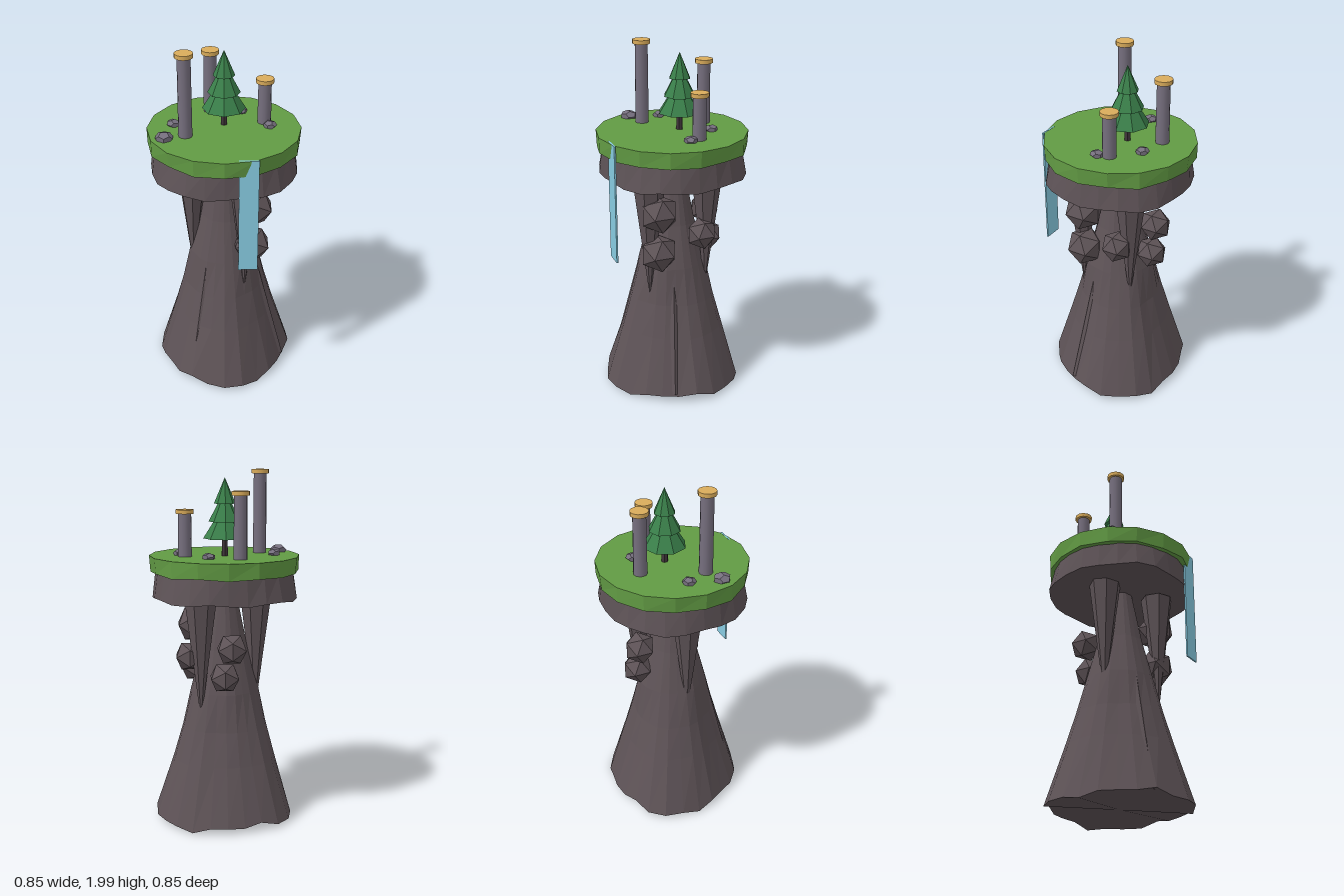
import * as THREE from 'three';

const paint = (name, color, flatShading = true) =>
  new THREE.MeshStandardMaterial({ name, color, flatShading });

export function createModel() {
  const model = new THREE.Group();
  model.name = 'floatingIslandSpire';

  const rock = paint('darkRock', 0x5e5357);
  const grass = paint('grass', 0x629b44);
  const stone = paint('greyStone', 0x766f7e, false);
  const gold = paint('goldCap', 0xdaac5b, false);
  const leaf = paint('pineGreen', 0x3a7f4a);
  const bark = paint('bark', 0x40353a);
  const water = paint('water', 0x87cbe1);

  function add(name, geometry, material, x = 0, y = 0, z = 0, parent = model) {
    const mesh = new THREE.Mesh(geometry, material);
    mesh.name = name;
    mesh.position.set(x, y, z);
    parent.add(mesh);
    return mesh;
  }

  // Move every vertex by a rule of its angle, radius and height
  function reshape(geometry, rule) {
    const p = geometry.attributes.position;
    for (let i = 0; i < p.count; i++) {
      const a = Math.atan2(p.getX(i), p.getZ(i));
      const [r, y] = rule(a, Math.hypot(p.getX(i), p.getZ(i)), p.getY(i));
      p.setXYZ(i, Math.sin(a) * r, y, Math.cos(a) * r);
    }
    geometry.computeVertexNormals();
    return geometry;
  }

  // Flared, three-lobed rock core with an uneven foot
  const profile = [[0.03, 0.39], [0.36, 0.29], [0.55, 0.238], [0.76, 0.193],
    [1.0, 0.13], [1.31, 0.068]];
  const core = new THREE.CylinderGeometry(1, 1, 5, 24, 5);
  add('rockCore', reshape(core, (a, r, y) => {
    const level = Math.round(y + 2.5);
    const [h, radius] = profile[level];
    const lobes = level < 3 ? 0.05 * Math.cos(3 * a) : 0;
    const bump = 1 + lobes + 0.018 * Math.sin(8 * a + 0.6) + 0.01 * Math.sin(5 * a + level);
    const foot = level === 0 && r > 0.5
      ? 0.012 * Math.sin(9 * a) + 0.014 * Math.sin(3 * a + 3.6) : 0;
    return [r * radius * bump, h + foot];
  }), rock);

  // Thin ridges leaning against the core
  for (const [angle, height] of [[-0.55, 1.02], [0.35, 0.78], [1.25, 0.8], [2.3, 0.85], [-1.9, 0.8]]) {
    const ridge = new THREE.ConeGeometry(0.065, height - 0.05, 5, 1);
    const p = ridge.attributes.position;
    const topRadius = 0.33 - 0.2 * height;
    for (let i = 0; i < p.count; i++) {
      const t = p.getY(i) / (height - 0.05) + 0.5;
      p.setZ(i, p.getZ(i) + THREE.MathUtils.lerp(0.31, topRadius, t));
    }
    add('rockRidge', ridge, rock, 0, height / 2 + 0.025, 0).rotation.y = angle;
  }

  // Hanging spikes under the island
  for (const [x, z, top] of [[-0.178, 0.01, 1.31], [0.14, -0.15, 1.31], [0.115, 0.18, 1.285]]) {
    add('hangingSpike', new THREE.CylinderGeometry(0.092, 0.004, 0.68, 7), rock, x, top - 0.34, z);
  }

  // Boulders clinging to the core
  const boulders = [[0.165, 1.11, 0.14, 0.112], [0.155, 0.87, 0.14, 0.11],
    [0.2, 0.97, -0.1, 0.09], [-0.03, 1.03, -0.215, 0.092], [0.01, 0.87, -0.215, 0.09]];
  for (const [x, y, z, r] of boulders) {
    add('boulder', new THREE.IcosahedronGeometry(r, 0), rock, x, y, z);
  }

  // Island: ragged rock slab with a grass layer
  add('islandRock', reshape(new THREE.CylinderGeometry(0.388, 0.412, 0.15, 24), (a, r, y) => {
    const low = y < 0 && r > 0.1;
    return [r * (1 + (low ? 0.025 * Math.cos(4 * a - 3.49) + 0.01 * Math.cos(2 * a + 3.14) : 0)),
      y + (low ? 0.008 * Math.sin(7 * a) : 0)];
  }), rock, 0, 1.375, 0);
  add('islandGrass', reshape(new THREE.CylinderGeometry(0.423, 0.418, 0.09, 16), (a, r, y) => {
    const low = y < 0 && r > 0.1;
    return [r * (1 + (low ? 0.012 * Math.sin(5 * a + 2) : 0)),
      y + (low ? 0.005 * Math.sin(7 * a + 1) : 0)];
  }), grass, 0, 1.485, 0);

  // Waterfall
  add('waterfall', new THREE.BoxGeometry(0.105, 0.67, 0.009), water, 0.127, 1.196, 0.391);

  // Capped columns
  for (const [x, z, top] of [[-0.208, 0.1, 2], [-0.075, -0.22, 1.894], [0.222, -0.07, 1.788]]) {
    const column = new THREE.Group();
    column.name = 'column';
    column.position.set(x, 1.52, z);
    const h = top - 1.52;
    add('columnShaft', new THREE.CylinderGeometry(0.036, 0.038, h - 0.02, 12), stone,
      0, (h - 0.02) / 2, 0, column);
    add('columnCap', new THREE.CylinderGeometry(0.05, 0.05, 0.023, 12), gold,
      0, h - 0.0115, 0, column);
    model.add(column);
  }

  // Pine tree
  const tree = new THREE.Group();
  tree.name = 'pineTree';
  tree.position.set(0, 1.52, -0.045);
  add('trunk', new THREE.CylinderGeometry(0.016, 0.02, 0.14, 6), bark, 0, 0.07, 0, tree);
  for (const [r, bottom, h] of [[0.12, 0.107, 0.19], [0.09, 0.2, 0.17], [0.06, 0.298, 0.142]]) {
    add('pineTier', new THREE.ConeGeometry(r, h, 8), leaf, 0, bottom + h / 2, 0, tree);
  }
  model.add(tree);

  // Small stones on the grass
  const pebbles = [[-0.32, 0.14, 0.05], [-0.278, -0.03, 0.038],
    [0.095, -0.195, 0.038], [0.25, -0.01, 0.038]];
  pebbles.forEach(([x, z, r], i) => {
    const pebble = add('pebble', new THREE.DodecahedronGeometry(r, 0), stone, x, 1.541, z);
    pebble.scale.y = 0.6;
    pebble.rotation.y = i * 0.9;
  });

  return model;
}
